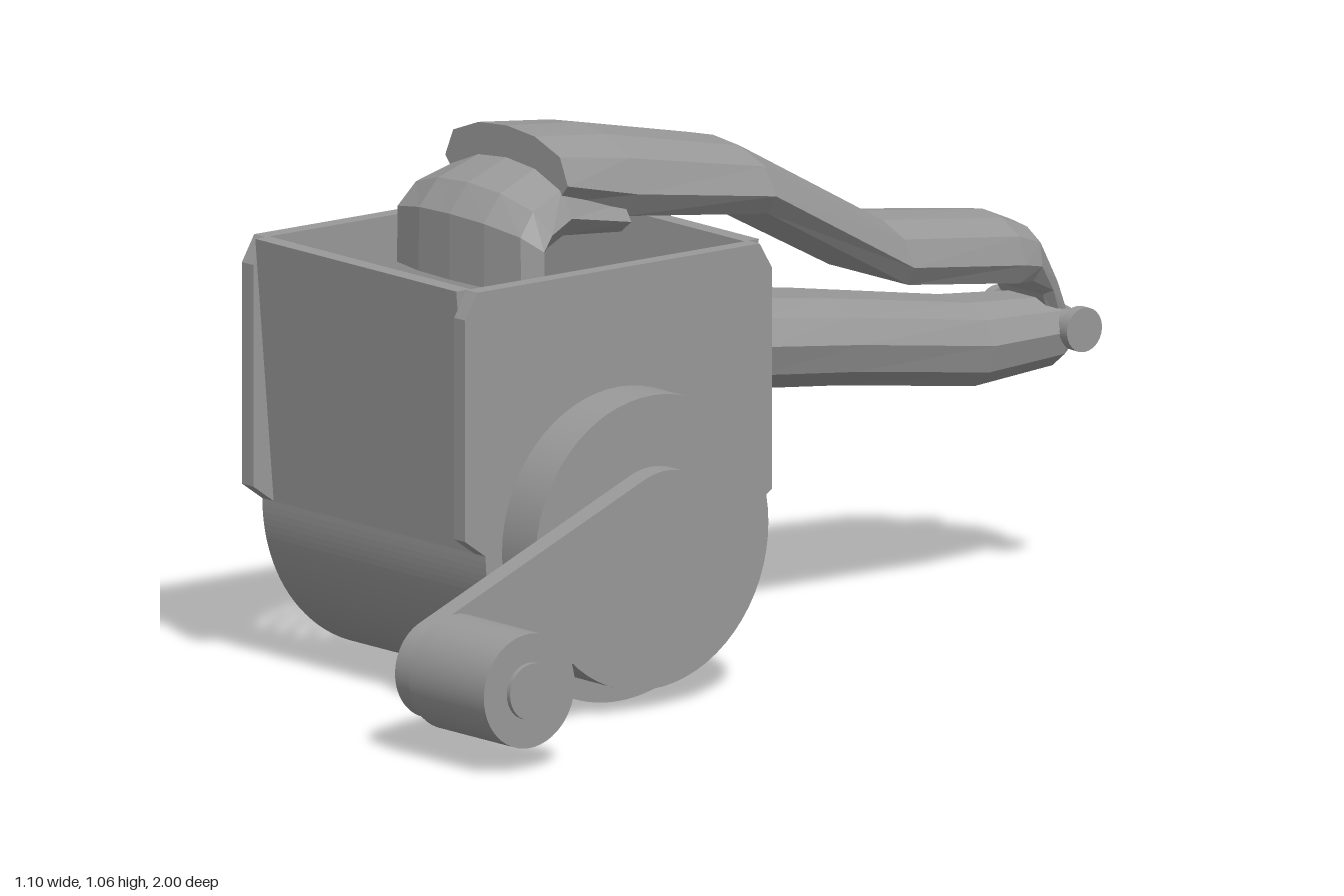
import * as THREE from 'three';
import { mergeGeometries } from 'three/addons/utils/BufferGeometryUtils.js';

const AXIS_Y = 0.325, AXIS_Z = 0.365; // drum axis, running along x

export function createModel() {
  const model = new THREE.Group();
  const metal = new THREE.MeshStandardMaterial({ color: 0x999999 });
  metal.name = 'grey';
  metal.side = THREE.DoubleSide;

  const add = (name, geometry) => {
    const mesh = new THREE.Mesh(geometry, metal);
    mesh.name = name;
    model.add(mesh);
    return mesh;
  };
  const flat = (g) => {
    const f = g.index ? g.toNonIndexed() : g;
    f.computeVertexNormals();
    return f;
  };
  // Cylinder along x from x0 to x1
  const rod = (name, r, x0, x1, y, z, seg = 48) =>
    add(name, new THREE.CylinderGeometry(r, r, x1 - x0, seg)
      .rotateZ(-Math.PI / 2).translate((x0 + x1) / 2, y, z));
  // Side outline, drawn with (-z, y), extruded from x0 to x1
  const slab = (name, shape, x0, x1) =>
    add(name, new THREE.ExtrudeGeometry(shape, { depth: x1 - x0, bevelEnabled: false, curveSegments: 40 })
      .rotateY(Math.PI / 2).translate(x0, 0, 0));

  // ---- Housing: side plates with clipped corners and rounded bottoms ----
  const plateShape = () => {
    const s = new THREE.Shape();
    s.moveTo(-0.74, 0.36);
    s.lineTo(-0.69, AXIS_Y);
    s.absarc(-AXIS_Z, AXIS_Y, 0.325, Math.PI, Math.PI * 2, false);
    s.lineTo(0.01, 0.36);
    s.lineTo(0.01, 0.79);
    s.lineTo(-0.02, 0.84);
    s.lineTo(-0.71, 0.84);
    s.lineTo(-0.74, 0.79);
    s.closePath();
    return s;
  };
  const openPlate = plateShape();
  openPlate.holes.push(new THREE.Path().absarc(-AXIS_Z, AXIS_Y, 0.262, 0, Math.PI * 2, true));
  slab('rightSidePlate', openPlate, -0.51, -0.476);
  slab('leftSidePlate', plateShape(), 0.127, 0.16);

  // Sloping hopper walls joined by the round trough
  const trough = new THREE.Shape();
  trough.moveTo(-0.735, 0.84);
  trough.lineTo(-0.69, AXIS_Y);
  trough.absarc(-AXIS_Z, AXIS_Y, 0.325, Math.PI, Math.PI * 2, false);
  trough.lineTo(0.005, 0.84);
  trough.lineTo(-0.03, 0.84);
  trough.lineTo(-0.085, AXIS_Y);
  trough.absarc(-AXIS_Z, AXIS_Y, 0.28, 0, -Math.PI, true);
  trough.lineTo(-0.70, 0.84);
  trough.closePath();
  slab('hopperWalls', trough, -0.476, 0.127);

  // ---- Perforated drum: solid rings alternating with rings of short bars ----
  const R = 0.26, HOLES = 36, PITCH = 0.056, HOLE = 0.028, parts = [];
  const band = (x0, x1, seg, start = 0, sweep = Math.PI * 2) =>
    parts.push(new THREE.CylinderGeometry(R, R, x1 - x0, seg, 1, true, start, sweep)
      .rotateZ(-Math.PI / 2).translate((x0 + x1) / 2, AXIS_Y, AXIS_Z));
  let from = -0.54;
  for (let c = 0; c < 10; c++) {
    const x = -0.43 + c * PITCH;
    band(from, x - HOLE / 2, HOLES * 2);
    from = x + HOLE / 2;
    const step = Math.PI * 2 / HOLES;
    for (let i = 0; i < HOLES; i++) band(x - HOLE / 2, from, 1, i * step, step / 2);
  }
  band(from, 0.13, HOLES * 2);
  add('gratingDrum', mergeGeometries(parts));

  // Flanged lip at the open end of the drum
  const lip = [[0.247, -0.554], [0.272, -0.554], [0.28, -0.546], [0.28, -0.528], [0.272, -0.52],
    [0.262, -0.52], [0.262, -0.47], [0.247, -0.47], [0.247, -0.554]]
    .map(([r, x]) => new THREE.Vector2(r, x));
  add('drumLip', flat(new THREE.LatheGeometry(lip, 64).rotateZ(-Math.PI / 2).translate(0, AXIS_Y, AXIS_Z)));

  // ---- Crank ----
  rod('drumCap', 0.285, 0.16, 0.26, AXIS_Y, AXIS_Z, 64);
  const big = { a: -0.365, y: 0.33, r: 0.142 }, small = { a: -0.895, y: 0.157, r: 0.098 };
  const dir = Math.atan2(small.y - big.y, small.a - big.a);
  const spread = Math.acos((big.r - small.r) / Math.hypot(small.a - big.a, small.y - big.y));
  const arm = new THREE.Shape();
  arm.absarc(big.a, big.y, big.r, dir + spread, dir - spread + Math.PI * 2, false);
  arm.absarc(small.a, small.y, small.r, dir - spread, dir + spread, false);
  arm.closePath();
  slab('crankArm', arm, 0.26, 0.305);
  rod('knobStem', 0.033, 0.30, 0.32, 0.157, 0.893, 24);
  rod('crankKnob', 0.111, 0.315, 0.54, 0.157, 0.893);
  rod('knobEnd', 0.055, 0.54, 0.55, 0.157, 0.893, 32);

  // ---- Handles: lofted from rows of [outer z, y, inner z, y, half width] ----
  const CX = -0.176;
  const crowned = [[-0.82, 0], [-1, 0.3], [-0.87, 0.72], [-0.46, 0.94], [0, 1],
    [0.46, 0.94], [0.87, 0.72], [1, 0.3], [0.82, 0]];
  const rounded = [[-0.5, 0.04], [-0.88, 0.24], [-1, 0.55], [-0.8, 0.82], [-0.4, 0.97],
    [0.4, 0.97], [0.8, 0.82], [1, 0.55], [0.88, 0.24], [0.5, 0.04], [0, 0]];
  const loft = (name, section, rows) => {
    const n = section.length, pos = [], idx = [];
    for (const [oz, oy, iz, iy, w] of rows)
      for (const [u, t] of section) pos.push(CX + u * w, iy + (oy - iy) * t, iz + (oz - iz) * t);
    for (let i = 0; i < rows.length - 1; i++)
      for (let j = 0; j < n; j++) {
        const k = (j + 1) % n, a = i * n, b = a + n;
        idx.push(a + j, a + k, b + j, a + k, b + k, b + j);
      }
    const e = (rows.length - 1) * n;
    for (let j = 1; j < n - 1; j++) idx.push(0, j + 1, j, e, e + j, e + j + 1);
    const g = new THREE.BufferGeometry();
    g.setAttribute('position', new THREE.Float32BufferAttribute(pos, 3));
    g.setIndex(idx);
    return add(name, flat(g));
  };

  loft('upperHandle', crowned, [
    [0.365, 1.06, 0.365, 0.935, 0.184],
    [0.19, 1.043, 0.19, 0.885, 0.18],
    [-0.14, 0.972, -0.16, 0.84, 0.172],
    [-0.5, 0.775, -0.52, 0.648, 0.145],
    [-0.8, 0.737, -0.81, 0.608, 0.122],
    [-0.868, 0.708, -0.85, 0.605, 0.11],
    [-0.935, 0.6, -0.89, 0.57, 0.085],
    [-0.99, 0.50, -0.93, 0.49, 0.06],
  ]);

  // Curved pusher that presses down into the hopper
  loft('pusher', crowned, [
    [0.505, 0.78, 0.42, 0.78, 0.214],
    [0.505, 0.908, 0.42, 0.84, 0.212],
    [0.46, 0.963, 0.40, 0.855, 0.202],
    [0.365, 0.998, 0.35, 0.87, 0.184],
    [0.20, 0.935, 0.20, 0.855, 0.172],
  ]);

  loft('lowerHandle', rounded, [
    [0.05, 0.70, 0.05, 0.495, 0.18],
    [-0.13, 0.675, -0.13, 0.487, 0.172],
    [-0.38, 0.637, -0.38, 0.458, 0.152],
    [-0.73, 0.578, -0.73, 0.406, 0.122],
    [-0.93, 0.56, -0.93, 0.418, 0.098],
    [-0.995, 0.525, -0.995, 0.46, 0.055],
  ]);

  // ---- Hinge pin with a head at each end ----
  rod('hingePin', 0.03, -0.30, -0.05, 0.505, -0.94, 20);
  for (const s of [-1, 1]) {
    const x = CX + s * 0.122;
    rod('hingePinHead', 0.043, x - 0.011, x + 0.011, 0.505, -0.94, 24);
  }
  return model;
}
